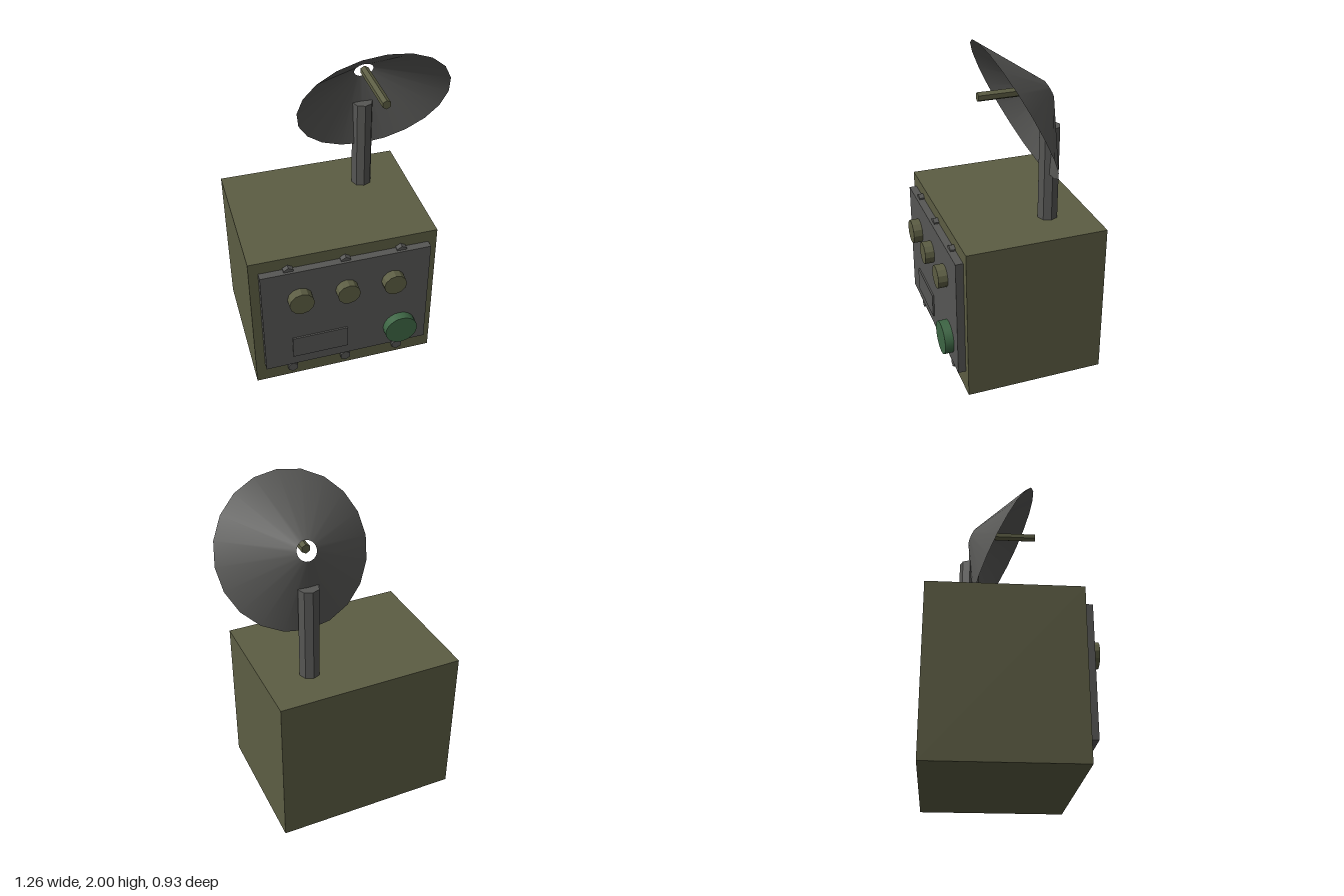
import * as THREE from 'three';

const material = (name, color) => {
  const m = new THREE.MeshStandardMaterial({ color });
  m.name = name;
  return m;
};

export function createModel() {
  const group = new THREE.Group();
  group.name = 'radioUnit';
  const olive = material('olive paint', 0x5c5d43);
  const grey = material('grey metal', 0x565654);
  const green = material('green lens', 0x3d6544);
  const dishGrey = material('dish grey', 0x595957);
  dishGrey.side = THREE.DoubleSide;

  const add = (name, geometry, mat, x, y, z) => {
    const mesh = new THREE.Mesh(geometry, mat);
    mesh.name = name;
    mesh.position.set(x, y, z);
    group.add(mesh);
    return mesh;
  };

  // Give a geometry one normal per facet
  const faceted = (geometry) => {
    const g = geometry.toNonIndexed();
    g.computeVertexNormals();
    return g;
  };

  // Round part along z, from zBack to zFront
  const disc = (name, r, sides, mat, x, y, zBack, zFront, smooth = false) => {
    const g = new THREE.CylinderGeometry(r, r, zFront - zBack, sides).rotateX(Math.PI / 2);
    return add(name, smooth ? g : faceted(g), mat, x, y, (zBack + zFront) / 2);
  };

  // Cabinet and front panel
  add('cabinet', new THREE.BoxGeometry(1.1, 0.94, 0.83), olive, -0.085, 0.47, -0.05);
  add('frontPanel', new THREE.BoxGeometry(0.995, 0.73, 0.045), grey, -0.083, 0.5, 0.3875);
  add('labelPlate', new THREE.BoxGeometry(0.335, 0.15, 0.02), grey, -0.247, 0.28, 0.41);

  // Bolts above and below the panel
  for (const x of [-0.415, -0.085, 0.245]) {
    for (const y of [0.086, 0.858]) disc('bolt', 0.033, 6, grey, x, y, 0.355, 0.395);
  }

  // Control knobs and the round lens
  for (const [x, r] of [[-0.36, 0.073], [-0.085, 0.067], [0.192, 0.068]]) {
    disc('knob', r, 12, olive, x, 0.668, 0.4, 0.465);
  }
  disc('lens', 0.099, 24, green, 0.245, 0.281, 0.4, 0.462, true);

  // Mast
  add('mast', faceted(new THREE.CylinderGeometry(0.061, 0.061, 0.58, 8)), grey, 0.19, 1.21, -0.215);

  // Open conical dish, tipped forward, with a hole at its centre
  const dish = add('dish', new THREE.CylinderGeometry(0.437, 0.056, 0.218, 20, 1, true),
    dishGrey, 0.19, 1.661, -0.1025);
  dish.rotation.x = Math.PI / 2 + Math.atan(0.5);

  // Feed rod
  disc('feedRod', 0.026, 6, olive, 0.19, 1.715, -0.19, 0.2);

  return group;
}
